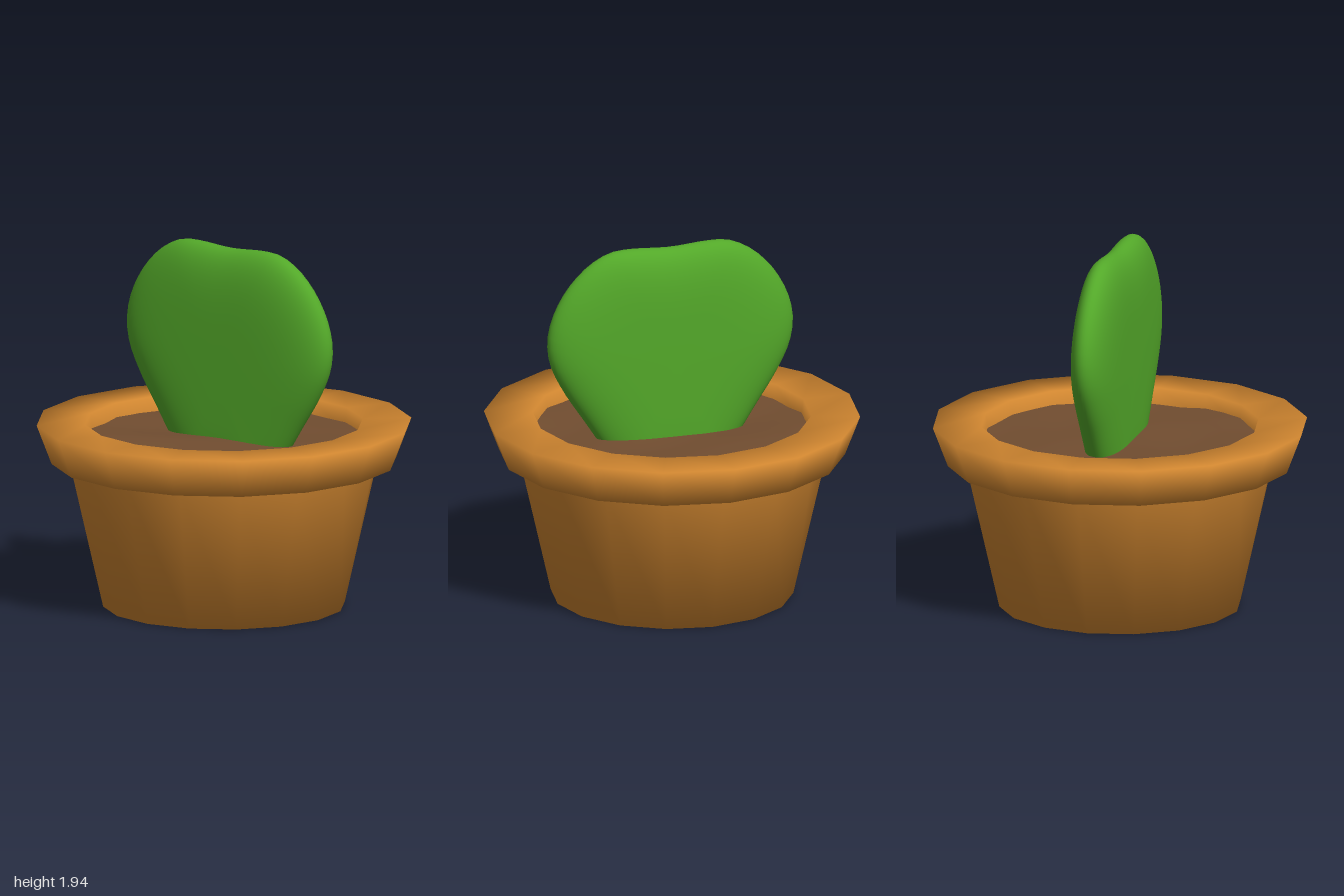
import * as THREE from 'three';
import { mergeVertices } from 'three/addons/utils/BufferGeometryUtils.js';

const SIDES = 16;

function makeMaterial(name, color) {
  const material = new THREE.MeshStandardMaterial({ color });
  material.name = name;
  return material;
}

function makeMesh(name, geometry, material) {
  const mesh = new THREE.Mesh(geometry, material);
  mesh.name = name;
  return mesh;
}

// Soft-shaded surface of revolution with the pot's side count
function turned(profile) {
  return new THREE.LatheGeometry(profile.map(([r, y]) => new THREE.Vector2(r, y)), SIDES);
}

// Slightly uneven disc of earth
function soilGeometry() {
  const geometry = new THREE.RingGeometry(0, 0.745, 32, 8).rotateX(-Math.PI / 2);
  const p = geometry.attributes.position;
  for (let i = 0; i < p.count; i++) {
    const x = p.getX(i), z = p.getZ(i);
    p.setY(i, 0.91 + 0.008 * Math.sin(6 * x + 1) * Math.cos(7 * z) + 0.005 * Math.sin(11 * z + 5 * x));
  }
  geometry.computeVertexNormals();
  return geometry;
}

// Flat rounded pad: a sphere remapped to a mirrored outline and a cushion-like thickness
function padGeometry() {
  const cx = 0.02, cy = 1.3, cz = -0.025, halfDepth = 0.115;
  const half = [
    [0.22, 0.62], [0.33, 0.78], [0.475, 1.0], [0.6, 1.19], [0.672, 1.34], [0.69, 1.47],
    [0.66, 1.61], [0.575, 1.76], [0.45, 1.88], [0.33, 1.937], [0.22, 1.945],
  ];
  const outline = [
    ...half,
    [0, 1.933],
    ...half.slice().reverse().map(([x, y]) => [-x, y]),
  ].map(([x, y]) => new THREE.Vector3(cx + x, y, 0));
  const curve = new THREE.CatmullRomCurve3(outline, true);

  const sphere = new THREE.SphereGeometry(1, 72, 40).rotateX(Math.PI / 2);
  sphere.deleteAttribute('normal');
  sphere.deleteAttribute('uv');
  const p = sphere.attributes.position;
  for (let i = 0; i < p.count; i++) {
    const a = p.getX(i), b = p.getY(i), c = p.getZ(i);
    const s = Math.min(1, Math.hypot(a, b));
    const t = (Math.atan2(b, a) / (2 * Math.PI) + 1) % 1;
    const edge = curve.getPointAt(t);
    const depth = halfDepth * Math.sqrt(1 - s ** 5) * Math.sign(c);
    p.setXYZ(i, cx + (edge.x - cx) * s, cy + (edge.y - cy) * s, cz + depth);
  }
  const geometry = mergeVertices(sphere, 1e-4);
  geometry.computeVertexNormals();
  return geometry;
}

export function createModel() {
  const clay = makeMaterial('terracotta', 0xd08630);
  const earth = makeMaterial('brown soil', 0x714d30);
  const green = makeMaterial('cactus green', 0x53a829);

  const model = new THREE.Group();
  model.name = 'pottedCactus';
  model.add(
    // Tapered pot with closed base
    makeMesh('potBody', turned([[0, 0], [0.645, 0], [0.825, 0.79]]), clay),
    // Flared collar, from its underside over the top to the inner wall
    makeMesh('potRim', turned([[0.78, 0.78], [0.92, 0.78], [1, 0.99], [0.74, 0.99], [0.725, 0.86]]), clay),
    makeMesh('soil', soilGeometry(), earth),
    makeMesh('cactusPad', padGeometry(), green),
  );
  return model;
}
